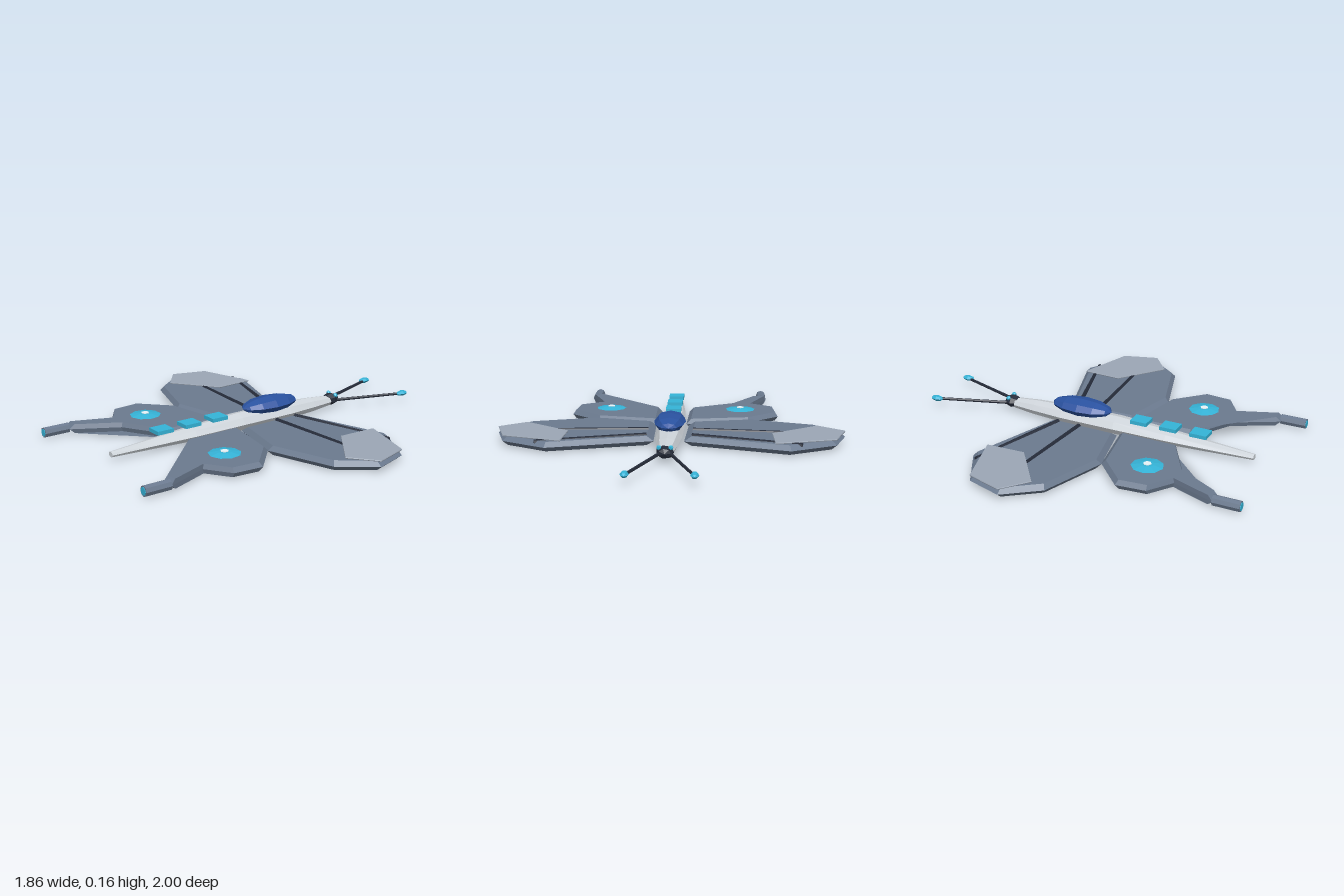
import * as THREE from 'three';

const mat = (color, extra = {}) => new THREE.MeshStandardMaterial({ color, flatShading: true, ...extra });
const M = {
  wing: mat(0x6b7a8f), hull: mat(0xcfd5db), dark: mat(0x262c3a),
  canopy: mat(0x2a52a0), glow: mat(0x35b4d8), panel: mat(0x9ca7b6), white: mat(0xe8f4f8),
};

// Bevelled plate: a wide middle outline with smaller top and bottom faces.
// "notch" is the index of a hollow corner that gets a flat web across it.
function plate(points, side, y, half, inset, notch = -1) {
  const n = points.length;
  let outline = points.map(([x, z]) => new THREE.Vector2(side * x, z));
  let hollow = notch;
  if (side > 0) {
    outline.reverse();
    if (notch >= 0) hollow = n - 1 - notch;
  }
  const c = outline.reduce((a, p) => a.add(p), new THREE.Vector2()).divideScalar(n);
  const ring = (k, h) => outline.map(p => [c.x + (p.x - c.x) * k, h, c.y + (p.y - c.y) * k]);
  const pos = [...ring(inset, y + half), ...ring(1, y), ...ring(inset, y - half)].flat();
  const idx = [];
  for (let i = 0; i < n; i++) {
    const j = (i + 1) % n;
    for (const r of [0, n]) idx.push(r + i, r + n + i, r + j, r + j, r + n + i, r + n + j);
  }
  const cap = (a, b, d) => idx.push(a, b, d, 2 * n + d, 2 * n + b, 2 * n + a);
  THREE.ShapeUtils.triangulateShape(outline.map(p => new THREE.Vector2(p.x, -p.y)), [])
    .forEach(t => cap(...t));
  if (hollow >= 0) {
    const a = hollow - 1, d = hollow + 1;
    if (side > 0) cap(d, hollow, a); else cap(a, hollow, d);
  }
  const g = new THREE.BufferGeometry();
  g.setAttribute('position', new THREE.Float32BufferAttribute(pos, 3));
  g.setIndex(idx);
  const flat = g.toNonIndexed();
  flat.computeVertexNormals();
  return flat;
}

// Low-poly ellipsoid with its poles along z
function ellipsoid(rx, ry, rz, sides, rows) {
  return new THREE.SphereGeometry(1, sides, rows).rotateX(Math.PI / 2).scale(rx, ry, rz);
}

export function createModel() {
  const root = new THREE.Group();
  const add = (name, geo, material, x = 0, y = 0, z = 0, parent = root) => {
    const m = new THREE.Mesh(geo, material);
    m.name = name;
    m.position.set(x, y, z);
    parent.add(m);
    return m;
  };
  // Straight rod between two points
  const rod = (name, a, b, r0, r1, sides, material, parent) => {
    const A = new THREE.Vector3(...a), B = new THREE.Vector3(...b);
    const d = B.clone().sub(A);
    const m = add(name, new THREE.CylinderGeometry(r1, r0, d.length(), sides), material, 0, 0, 0, parent);
    m.position.copy(A).add(B).multiplyScalar(0.5);
    m.quaternion.setFromUnitVectors(new THREE.Vector3(0, 1, 0), d.normalize());
  };

  // Fuselage: rings of [z, half width, half height, centre y]
  const rings = [
    [-0.53, 0.04, 0.028, 0.048], [-0.4, 0.055, 0.04, 0.048], [-0.22, 0.07, 0.047, 0.048],
    [0.1, 0.072, 0.048, 0.048], [0.4, 0.06, 0.037, 0.042], [0.88, 0.02, 0.015, 0.032],
  ];
  const body = new THREE.CylinderGeometry(1, 1, 1, 8, rings.length - 1).rotateX(Math.PI / 2);
  const p = body.attributes.position;
  for (let i = 0; i < p.count; i++) {
    const [z, w, h, y] = rings[Math.round((p.getZ(i) + 0.5) * (rings.length - 1))];
    p.setXYZ(i, p.getX(i) * w, y + p.getY(i) * h, z);
  }
  body.computeVertexNormals();
  add('fuselage', body, M.hull);

  add('canopy', ellipsoid(0.085, 0.045, 0.178, 8, 6), M.canopy, 0, 0.11, -0.115);
  add('head', ellipsoid(0.046, 0.035, 0.047, 7, 4), M.dark, 0, 0.054, -0.556);

  // Floating pads along the back
  for (const z of [0.24, 0.41, 0.58])
    add('backPad', new THREE.BoxGeometry(0.085, 0.02, 0.095), M.glow, 0, 0.1, z);

  const foreWing = [[0.08, -0.24], [0.63, -0.415], [0.87, -0.28], [0.93, -0.085],
    [0.79, 0.095], [0.42, 0.215], [0.09, 0.14]];
  const hindWing = [[0.075, 0.15], [0.42, 0.215], [0.59, 0.375], [0.575, 0.535],
    [0.44, 0.625], [0.53, 0.86], [0.465, 0.865], [0.33, 0.625], [0.08, 0.48]];
  const tipPanel = [[0.55, -0.38], [0.87, -0.28], [0.93, -0.085], [0.79, 0.025], [0.54, -0.165]];

  for (const s of [1, -1]) {
    const half = new THREE.Group();
    half.name = s > 0 ? 'leftSide' : 'rightSide';
    root.add(half);

    // Fore wing with struts and a pale tip panel
    add('foreWing', plate(foreWing, s, 0.03, 0.025, 0.92), M.wing, 0, 0, 0, half);
    add('wingTipPanel', plate(tipPanel, s, 0.06, 0.004, 0.99), M.panel, 0, 0, 0, half);
    rod('wingStrut', [s * 0.12, 0.053, -0.2], [s * 0.69, 0.047, -0.36], 0.013, 0.013, 6, M.dark, half);
    rod('wingStrut', [s * 0.12, 0.053, -0.073], [s * 0.7, 0.049, -0.113], 0.013, 0.013, 6, M.dark, half);

    // Hind wing with round light and tail pod
    add('hindWing', plate(hindWing, s, 0.032, 0.025, 0.92, 7), M.wing, 0, 0, 0, half);
    add('wingLight', new THREE.CylinderGeometry(0.035, 0.095, 0.012, 9), M.glow, s * 0.375, 0.061, 0.45, half);
    add('wingLightCore', new THREE.CylinderGeometry(0.022, 0.022, 0.005, 6), M.white, s * 0.375, 0.068, 0.45, half);
    rod('tailPod', [s * 0.505, 0.03, 0.855], [s * 0.505, 0.03, 0.997], 0.028, 0.028, 8, M.wing, half);
    rod('podLight', [s * 0.505, 0.03, 0.99], [s * 0.505, 0.03, 1], 0.021, 0.021, 8, M.glow, half);

    // Eye and antenna
    add('eye', new THREE.IcosahedronGeometry(0.014), M.glow, s * 0.03, 0.079, -0.568, half);
    rod('antenna', [s * 0.03, 0.05, -0.58], [s * 0.155, 0.05, -0.945], 0.009, 0.008, 6, M.dark, half);
    add('antennaTip', ellipsoid(0.022, 0.016, 0.038, 6, 4), M.glow, s * 0.162, 0.052, -0.962, half);
  }
  return root;
}
